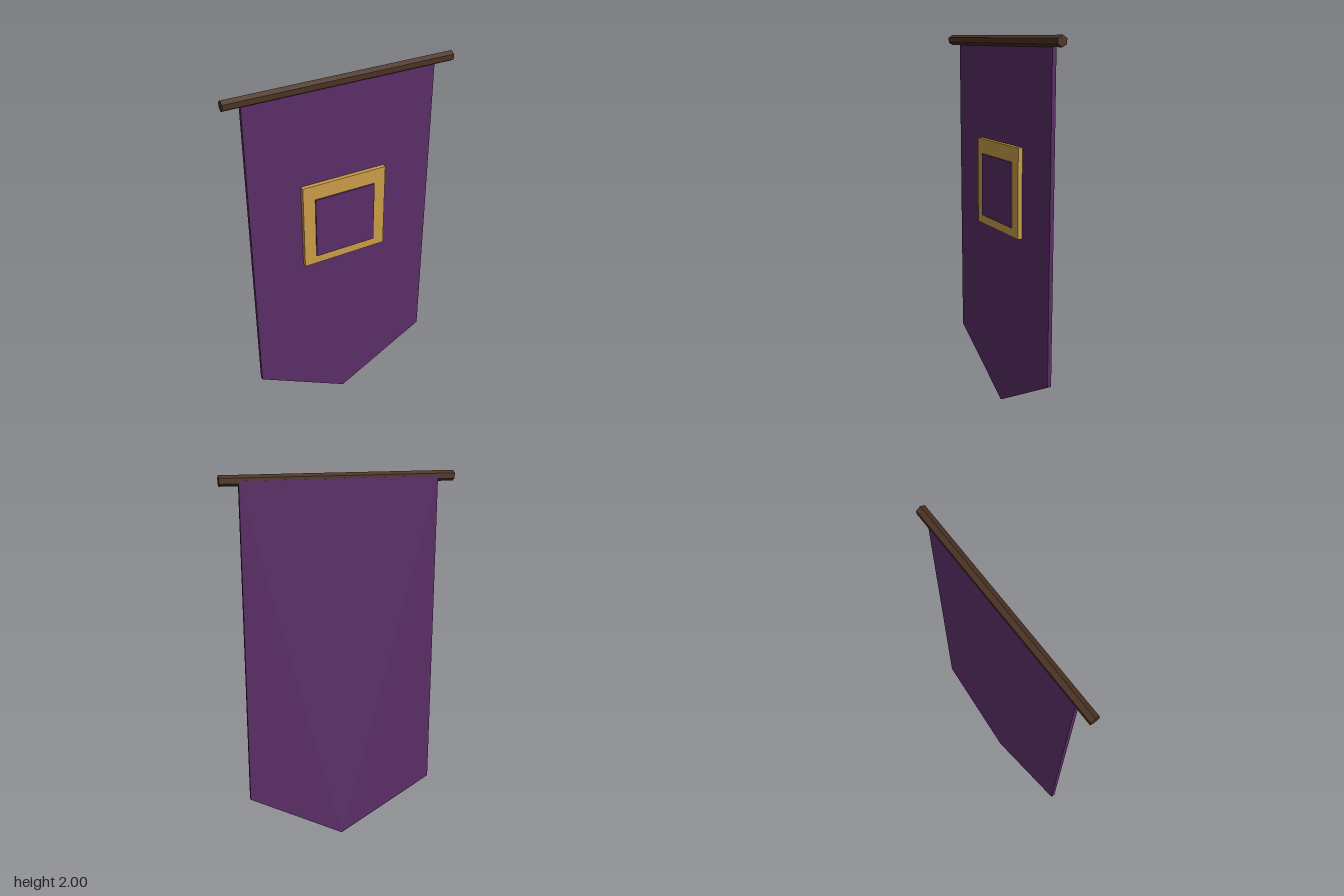
import * as THREE from 'three';

const material = (name, color) => {
  const m = new THREE.MeshStandardMaterial({ color });
  m.name = name;
  return m;
};

export function createModel() {
  const purple = material('purple cloth', 0x5a2d66);
  const gold = material('gold trim', 0xc99c48);
  const wood = material('dark wood', 0x4a3222);

  const group = new THREE.Group();
  group.name = 'wallBanner';
  const add = (name, geometry, mat, x, y, z) => {
    const mesh = new THREE.Mesh(geometry, mat);
    mesh.name = name;
    mesh.position.set(x, y, z);
    group.add(mesh);
  };

  // Flat hanging cloth with a pointed lower edge
  const outline = new THREE.Shape([
    [0, 0], [0.516, 0.285], [0.516, 1.973], [-0.516, 1.973], [-0.516, 0.285],
  ].map(([x, y]) => new THREE.Vector2(x, y)));
  add('cloth', new THREE.ExtrudeGeometry(outline, { depth: 0.021, bevelEnabled: false }),
    purple, 0, 0, -0.026);

  // Six-sided rod with an edge facing up
  const rod = new THREE.CylinderGeometry(0.027, 0.027, 1.22, 6).toNonIndexed();
  rod.rotateY(Math.PI / 2);
  rod.rotateZ(Math.PI / 2);
  rod.computeVertexNormals();
  add('rod', rod, wood, 0, 1.973, -0.001);

  // Square emblem: gold plaque with a raised purple centre
  add('emblemFrame', new THREE.BoxGeometry(0.472, 0.468, 0.024), gold, 0, 1.222, 0.006);
  add('emblemCentre', new THREE.BoxGeometry(0.34, 0.34, 0.03), purple, 0, 1.206, 0.011);

  return group;
}
